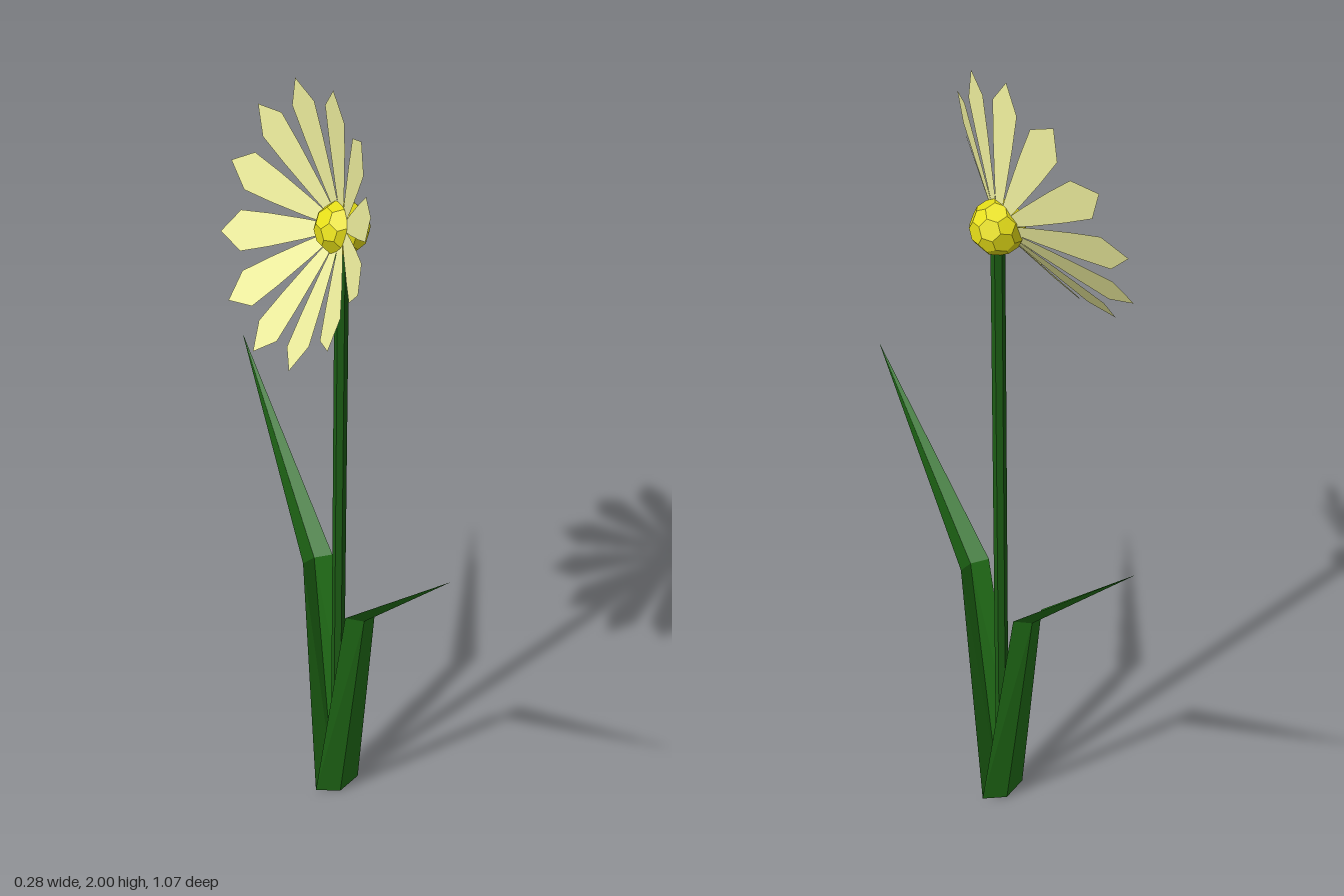
import * as THREE from 'three';
import { ConvexGeometry } from 'three/addons/geometries/ConvexGeometry.js';

const material = (color, side = THREE.FrontSide) =>
  new THREE.MeshStandardMaterial({ color, side, flatShading: true });

// Twelve-sided-and-more ball: an icosahedron with its corners cut at a third of each edge
function truncatedBall(radius) {
  const pos = new THREE.IcosahedronGeometry(radius * 1.13).getAttribute('position');
  const points = [];
  for (let f = 0; f < pos.count; f += 3) {
    for (let k = 0; k < 3; k++) {
      const a = new THREE.Vector3().fromBufferAttribute(pos, f + k);
      const b = new THREE.Vector3().fromBufferAttribute(pos, f + ((k + 1) % 3));
      points.push(a.lerp(b, 1 / 3));
    }
  }
  // each edge is met once from either side, so every point is unique
  return new ConvexGeometry(points);
}

// Leaf with a keel: each row gives the rim (y, z), the keel (y, z) and the half width
function leafGeometry() {
  const rows = [
    { rim: [0.01, 0.0], keel: [0, 0.02], w: 0.06 },
    { rim: [0.665, 0.115], keel: [0.655, 0.135], w: 0.04 },
    { rim: [1.07, 0.535], keel: [1.07, 0.535], w: 0.0005 },
  ];
  const vertices = [], index = [];
  rows.forEach(({ rim, keel, w }, r) => {
    vertices.push(-w, ...rim, 0, ...keel, w, ...rim);
    if (r === rows.length - 1) return;
    for (let c = 0; c < 2; c++) {
      const a = r * 3 + c;
      index.push(a, a + 1, a + 4, a, a + 4, a + 3);
    }
  });
  const geometry = new THREE.BufferGeometry();
  geometry.setAttribute('position', new THREE.Float32BufferAttribute(vertices, 3));
  geometry.setIndex(index);
  geometry.computeVertexNormals();
  return geometry;
}

// Flat pointed petal, swept back from the flower's +x axis
function petalGeometry() {
  const side = [[0.009, 0.03], [0.022, 0.1], [0.037, 0.2], [0.046, 0.28]];
  const outline = [...side, [0, 0.337], ...side.map(([x, y]) => [-x, y]).reverse()];
  const shape = new THREE.Shape(outline.map(([x, y]) => new THREE.Vector2(x, y)));
  return new THREE.ShapeGeometry(shape).rotateY(Math.PI / 2).rotateZ(THREE.MathUtils.degToRad(22));
}

export function createModel() {
  const model = new THREE.Group();
  model.name = 'flower';
  const plant = new THREE.Group();
  plant.name = 'plant';
  plant.position.x = 0.077;
  model.add(plant);

  const add = (parent, name, geometry, mat) => {
    const mesh = new THREE.Mesh(geometry, mat);
    mesh.name = name;
    parent.add(mesh);
    return mesh;
  };

  // Stem
  const stemHeight = 1.64;
  add(plant, 'stem', new THREE.CylinderGeometry(0.016, 0.016, stemHeight, 6), material(0x1c5c14))
    .position.y = stemHeight / 2;

  // Two opposite leaves
  const leaf = leafGeometry();
  const leafMaterial = material(0x227018, THREE.DoubleSide);
  ['frontLeaf', 'backLeaf'].forEach((name, i) => {
    add(plant, name, leaf, leafMaterial).rotation.y = i * Math.PI;
  });

  // Flower head, nodding slightly
  const head = new THREE.Group();
  head.name = 'flowerHead';
  head.position.y = 1.665;
  head.rotation.z = THREE.MathUtils.degToRad(-18);
  plant.add(head);
  add(head, 'flowerCentre', truncatedBall(0.063), material(0xe6de18));

  // Ring of petals
  const petal = petalGeometry();
  const petalMaterial = material(0xecec9c, THREE.DoubleSide);
  const petalCount = 12;
  for (let i = 0; i < petalCount; i++) {
    add(head, `petal${i + 1}`, petal, petalMaterial).rotation.x = (i / petalCount) * Math.PI * 2;
  }
  return model;
}
